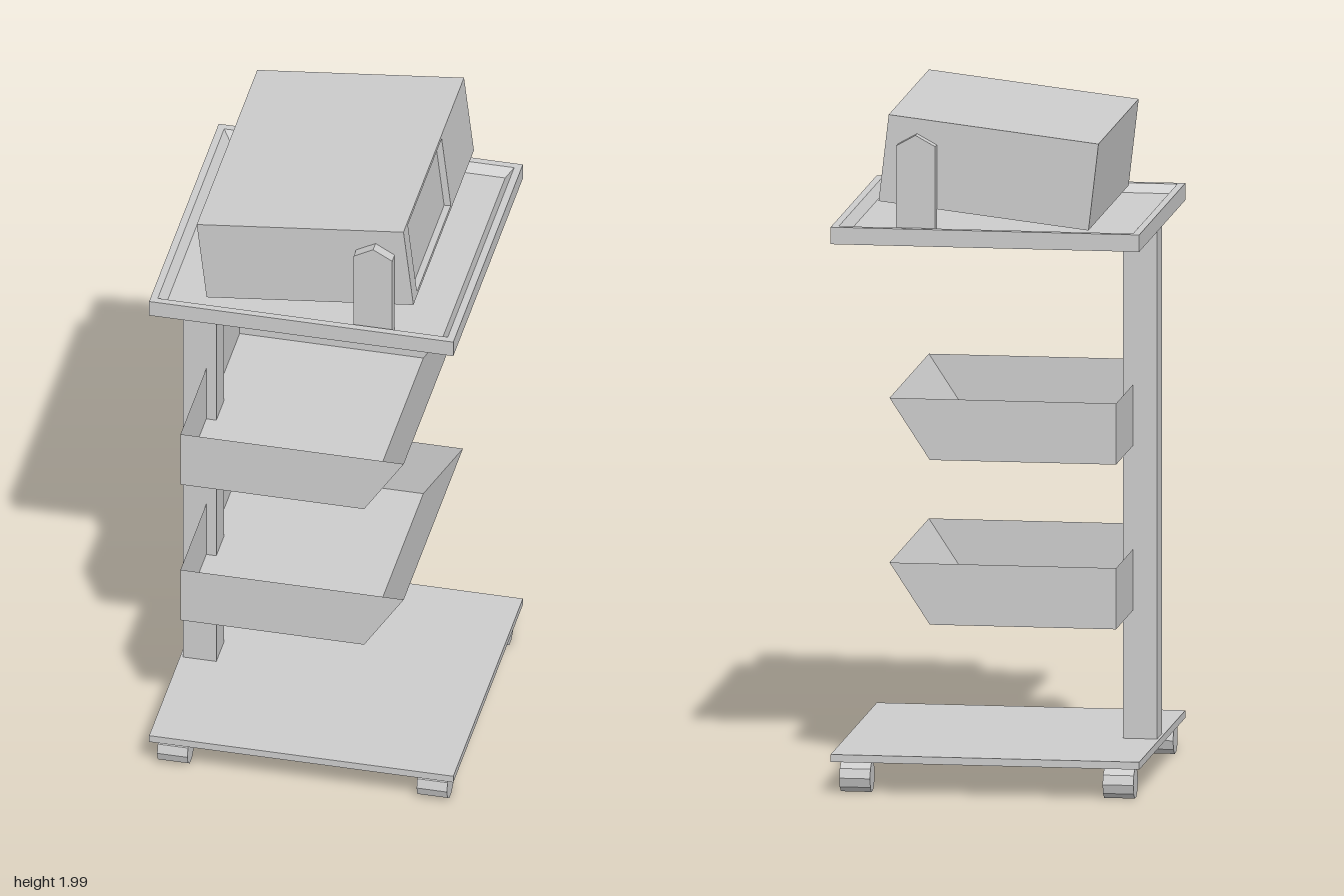
import * as THREE from 'three';

const mat = new THREE.MeshStandardMaterial({ color: 0xcccccc, flatShading: true });
const sheetMat = new THREE.MeshStandardMaterial({ color: 0xcccccc, flatShading: true, side: THREE.DoubleSide });

function add(parent, name, geometry, x = 0, y = 0, z = 0, material = mat) {
  const mesh = new THREE.Mesh(geometry, material);
  mesh.name = name;
  mesh.position.set(x, y, z);
  parent.add(mesh);
  return mesh;
}

function rect(ClassType, x0, y0, x1, y1) {
  return new ClassType([[x0, y0], [x1, y0], [x1, y1], [x0, y1]].map(p => new THREE.Vector2(...p)));
}

// Square tray top with a raised rim and sloped inner walls: a four-sided lathe
function rimmedTop(half) {
  const profile = [[0, 0], [half, 0], [half, 0.05], [0.432, 0.05], [0.41, 0.025], [0, 0.025]]
    .map(([r, y]) => new THREE.Vector2(r * Math.SQRT2, y));
  const g = new THREE.LatheGeometry(profile, 4, Math.PI / 4).toNonIndexed();
  g.computeVertexNormals();
  return g;
}

// Open bin of thin sheet: a box without its top, front edge pulled in at the bottom
function binGeometry() {
  const x0 = -0.375, x1 = 0.29, h = 0.18;
  const g = new THREE.BoxGeometry(x1 - x0, h, 0.77);
  g.translate((x0 + x1) / 2, h / 2, 0);
  const p = g.attributes.position;
  for (let i = 0; i < p.count; i++) {
    if (p.getX(i) > 0 && p.getY(i) < h / 2) p.setX(i, 0.172);
  }
  const index = Array.from(g.index.array);
  index.splice(12, 6); // the top face
  g.setIndex(index);
  g.clearGroups();
  g.computeVertexNormals();
  return g;
}

export function createModel() {
  const cart = new THREE.Group();
  cart.name = 'equipmentCart';
  const half = 0.453;

  // Base plate and casters
  add(cart, 'basePlate', new THREE.BoxGeometry(half * 2, 0.022, half * 2), 0, 0.111, 0);
  const r = 0.046;
  const wheel = new THREE.CylinderGeometry(r, r, 0.09, 10).rotateZ(Math.PI / 2);
  for (const x of [-0.388, 0.385]) {
    for (const z of [-0.39, 0.39]) {
      add(cart, 'casterWheel', wheel, x, 0.05, z);
    }
  }

  // Column
  add(cart, 'column', new THREE.BoxGeometry(0.1, 1.505, 0.1), -0.395, 0.8725, 0);

  // Storage bins
  const bin = binGeometry();
  for (const y of [0.5, 0.985]) add(cart, 'storageBin', bin, 0, y, 0, sheetMat);

  // Top tray
  add(cart, 'topTray', rimmedTop(half), 0, 1.625, 0);

  // Pointed side brackets
  const outline = [[0.15, 1.65], [0.265, 1.65], [0.265, 1.915], [0.208, 1.947], [0.15, 1.915]]
    .map(p => new THREE.Vector2(...p));
  const bracket = new THREE.ExtrudeGeometry(new THREE.Shape(outline), { depth: 0.032, bevelEnabled: false });
  add(cart, 'sideBracket', bracket, 0, 0, 0.394);
  add(cart, 'sideBracket', bracket, 0, 0, -0.426);

  // Tilted device with a recessed screen on its +x face
  const device = new THREE.Group();
  device.name = 'device';
  device.position.set(-0.002, 1.8375, 0);
  device.rotation.z = THREE.MathUtils.degToRad(6.6);
  cart.add(device);
  const w = 0.394, h = 0.1285, depth = 0.02;
  add(device, 'deviceBody', new THREE.BoxGeometry(0.6, h * 2, w * 2), -0.01, 0, 0);
  const face = rect(THREE.Shape, -w, -h, w, h);
  face.holes.push(rect(THREE.Path, -0.342, -0.118, 0.098, 0.118));
  const frame = new THREE.ExtrudeGeometry(face, { depth, bevelEnabled: false }).rotateY(Math.PI / 2);
  add(device, 'screenFrame', frame, 0.29, 0, 0);

  return cart;
}
